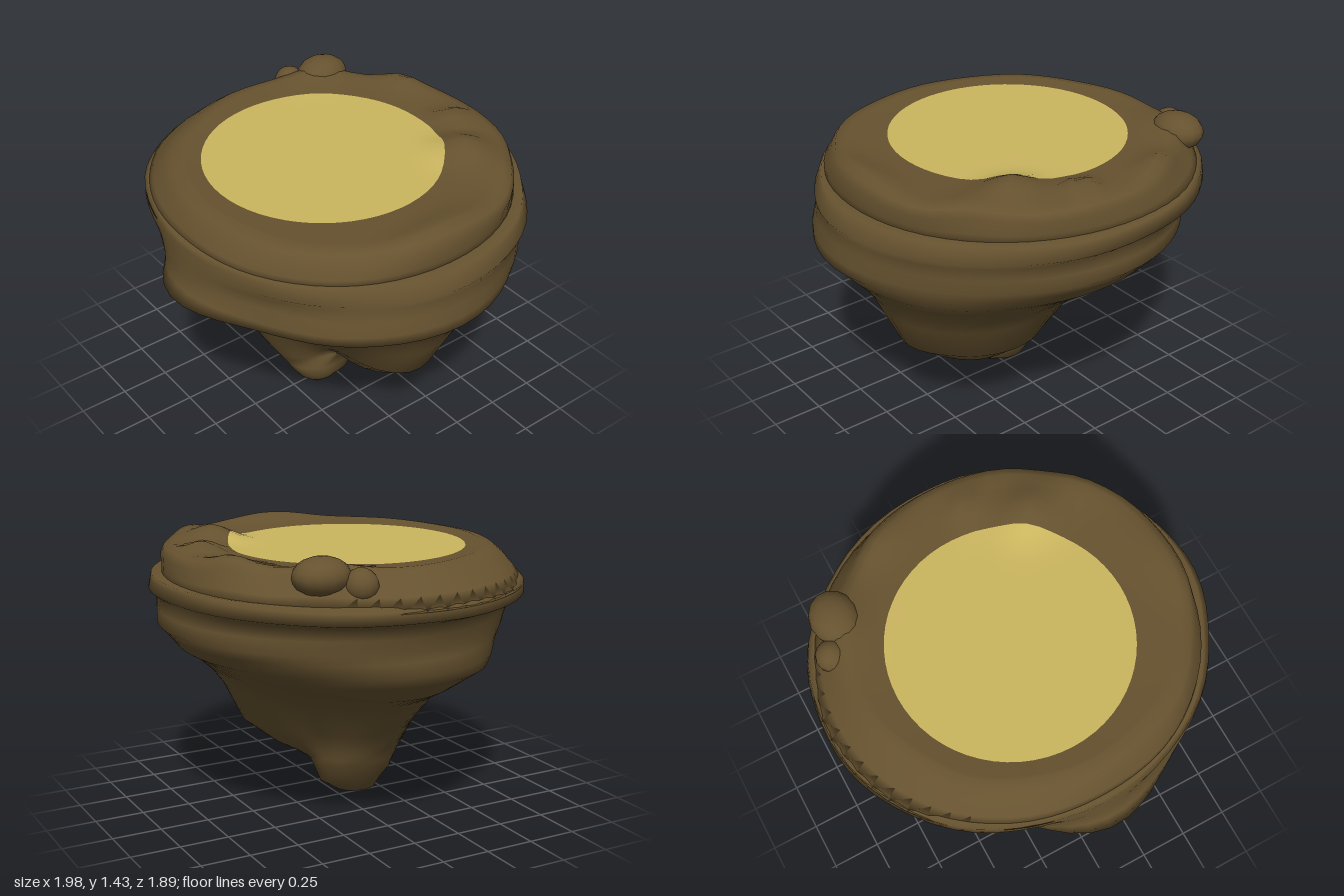
import * as THREE from 'three';

const N = 60;
const DISC = { x: -0.04, z: 0.02, r: 0.59 };

// Soft mounds on the top: x, z, height, x spread, z spread
const MOUNDS = [
  [-0.35, -0.74, 0.045, 0.15, 0.09], [0.1, -0.7, 0.055, 0.07, 0.09],
  [0.36, -0.53, 0.075, 0.13, 0.13], [0.8, 0, 0.035, 0.1, 0.25],
  [0.62, -0.55, 0.03, 0.13, 0.13], [-0.72, -0.45, 0.04, 0.15, 0.17],
];
const mound = (x, z) => MOUNDS.reduce((h, [mx, mz, k, sx, sz]) =>
  h + k * Math.exp(-(((x - mx) / sx) ** 2) - ((z - mz) / sz) ** 2), 0);

// Oval cross-section from its extents, with a slight wobble
function ring([y, x0, x1, z0, z1], wobble = 0.004) {
  return Array.from({ length: N }, (_, i) => {
    const a = (i / N) * Math.PI * 2;
    const k = 1 + wobble * (Math.sin(5 * a + y * 7) + Math.sin(9 * a - y * 5));
    return new THREE.Vector3(
      (x0 + x1) / 2 + Math.cos(a) * k * (x1 - x0) / 2, y,
      (z0 + z1) / 2 + Math.sin(a) * k * (z1 - z0) / 2);
  });
}

// Cross-section from radii every 30 degrees: left, front, right, back
function polarRing([y, ...radii]) {
  const at = i => radii[(i + radii.length) % radii.length];
  return Array.from({ length: N }, (_, i) => {
    const a = (i / N) * Math.PI * 2;
    const s = (i / N) * radii.length, j = Math.floor(s), t = s - j;
    const [p, q, u, v] = [at(j - 1), at(j), at(j + 1), at(j + 2)];
    const r = q + 0.5 * t * (u - p + t * (2 * p - 5 * q + 4 * u - v + t * (3 * (q - u) + v - p)));
    return new THREE.Vector3(Math.cos(a) * r, y, Math.sin(a) * r);
  });
}

// Skin over loops listed from bottom to top, with optional end caps
function loft(name, loops, material, capBottom = true, capTop = true) {
  const pos = loops.flatMap(l => l.flatMap(p => [p.x, p.y, p.z]));
  const idx = [];
  for (let r = 0; r < loops.length - 1; r++) {
    for (let i = 0; i < N; i++) {
      const a = r * N + i, b = r * N + (i + 1) % N;
      idx.push(a, a + N, b, b, a + N, b + N);
    }
  }
  const cap = (r, up) => {
    const c = new THREE.Vector3();
    loops[r].forEach(p => c.addScaledVector(p, 1 / N));
    const k = pos.length / 3;
    pos.push(c.x, c.y, c.z);
    for (let i = 0; i < N; i++) {
      const a = r * N + i, b = r * N + (i + 1) % N;
      if (up) idx.push(k, b, a); else idx.push(k, a, b);
    }
  };
  if (capBottom) cap(0, false);
  if (capTop) cap(loops.length - 1, true);
  const geo = new THREE.BufferGeometry();
  geo.setAttribute('position', new THREE.Float32BufferAttribute(pos, 3));
  geo.setIndex(idx);
  geo.computeVertexNormals();
  const mesh = new THREE.Mesh(geo, material);
  mesh.name = name;
  return mesh;
}

export function createModel() {
  const rock = new THREE.MeshStandardMaterial({ color: 0x66522f });
  rock.name = 'brown rock';
  const sand = new THREE.MeshStandardMaterial({ color: 0xcbb65f });
  sand.name = 'pale sand';
  const island = new THREE.Group();
  island.name = 'floatingRock';

  // Tip of the spur: y, then extents in x and z
  const tip = [
    [0, 0.01, 0.06, 0.06, 0.14], [0.04, -0.1, 0.1, -0.02, 0.2],
    [0.09, -0.13, 0.135, -0.1, 0.235], [0.16, -0.185, 0.15, -0.135, 0.275],
  ];
  // Spur at the front merging with a lobe at the right and back: y, then radii
  const lower = [
    [0.225, 0.16, 0.16, 0.21, 0.315, 0.28, 0.24, 0.21, 0.19, 0.17, 0.16, 0.16, 0.16],
    [0.25, 0.35, 0.17, 0.22, 0.33, 0.29, 0.25, 0.22, 0.195, 0.175, 0.18, 0.23, 0.33],
    [0.29, 0.48, 0.23, 0.24, 0.355, 0.31, 0.27, 0.24, 0.21, 0.19, 0.22, 0.32, 0.45],
    [0.4, 0.64, 0.36, 0.31, 0.42, 0.37, 0.34, 0.29, 0.25, 0.24, 0.33, 0.48, 0.59],
    [0.6, 0.74, 0.55, 0.46, 0.52, 0.49, 0.51, 0.48, 0.42, 0.41, 0.48, 0.59, 0.7],
    [0.69, 0.78, 0.63, 0.54, 0.57, 0.58, 0.65, 0.67, 0.58, 0.53, 0.56, 0.66, 0.76],
    [0.8, 0.86, 0.73, 0.63, 0.63, 0.7, 0.81, 0.82, 0.77, 0.72, 0.71, 0.77, 0.85],
    [0.86, 0.92, 0.85, 0.78, 0.8, 0.75, 0.83, 0.87, 0.84, 0.81, 0.81, 0.84, 0.91],
  ];
  // Front ledge and the groove over it: y, then radii
  const ledge = [
    [0.93, 0.99, 0.95, 0.89, 0.945, 0.8, 0.83, 0.86, 0.86, 0.87, 0.87, 0.89, 0.94],
    [0.98, 0.985, 0.95, 0.89, 0.905, 0.82, 0.84, 0.86, 0.87, 0.9, 0.92, 0.92, 0.95],
    [1.05, 0.975, 0.93, 0.87, 0.89, 0.84, 0.85, 0.88, 0.88, 0.9, 0.915, 0.92, 0.95],
    [1.11, 0.965, 0.92, 0.87, 0.885, 0.86, 0.87, 0.9, 0.89, 0.89, 0.9, 0.92, 0.95],
  ];
  // Overhanging band: y, then extents
  const band = [
    [1.145, -1, 0.975, -0.945, 0.875], [1.2, -0.985, 0.945, -0.94, 0.875],
    [1.222, -0.95, 0.93, -0.935, 0.865], [1.228, -0.84, 0.84, -0.84, 0.78],
  ];
  island.add(loft('rockBody', [
    ...tip.map(r => ring(r, 0.003)), ...[...lower, ...ledge].map(polarRing),
    ...band.map(r => ring(r)),
  ], rock));

  // Upper rim, flush with the band on the right and stepped in elsewhere
  const rim = [
    [1.19, 0.88, 0.88, 0.87, 0.86, 0.9, 0.955, 0.99, 0.98, 0.95, 0.9, 0.89, 0.89],
    [1.25, 0.885, 0.88, 0.86, 0.835, 0.86, 0.9, 0.925, 0.93, 0.91, 0.89, 0.885, 0.89],
  ].map(polarRing);
  rim.push(...[
    [1.31, -0.86, 0.88, -0.88, 0.8], [1.345, -0.81, 0.86, -0.86, 0.765],
    [1.355, -0.77, 0.82, -0.82, 0.71],
  ].map(r => ring(r, 0.006)));
  // Bumpy ground running in to the disc
  const circle = k => ring([1.345, DISC.x - DISC.r * k, DISC.x + DISC.r * k,
    DISC.z - DISC.r * k, DISC.z + DISC.r * k], 0);
  const edge = rim[rim.length - 1], inner = circle(1);
  for (let t = 1; t <= 6; t++) {
    rim.push(edge.map((p, i) => p.clone().lerp(inner[i], t / 6)));
  }
  const raise = loop => loop.forEach(p => {
    p.y += mound(p.x, p.z) * THREE.MathUtils.clamp((p.y - 1.2) / 0.12, 0, 1);
  });
  rim.forEach(raise);
  island.add(loft('topRim', rim, rock, true, false));

  // Pale round ground
  const ground = [1, 0.9, 0.8, 0.7, 0.55, 0.3].map(circle);
  ground.forEach(raise);
  island.add(loft('sandDisc', ground, sand, false, true));

  // Rounded boulders sunk into the back right edge: position, radii
  for (const [x, y, z, rx, ry, rz] of [
    [-0.71, 1.34, -0.48, 0.12, 0.09, 0.14], [-0.8, 1.3, -0.33, 0.08, 0.08, 0.08],
  ]) {
    const boulder = new THREE.Mesh(new THREE.SphereGeometry(1, 14, 10), rock);
    boulder.name = 'boulder';
    boulder.position.set(x, y, z);
    boulder.scale.set(rx, ry, rz);
    island.add(boulder);
  }
  return island;
}
